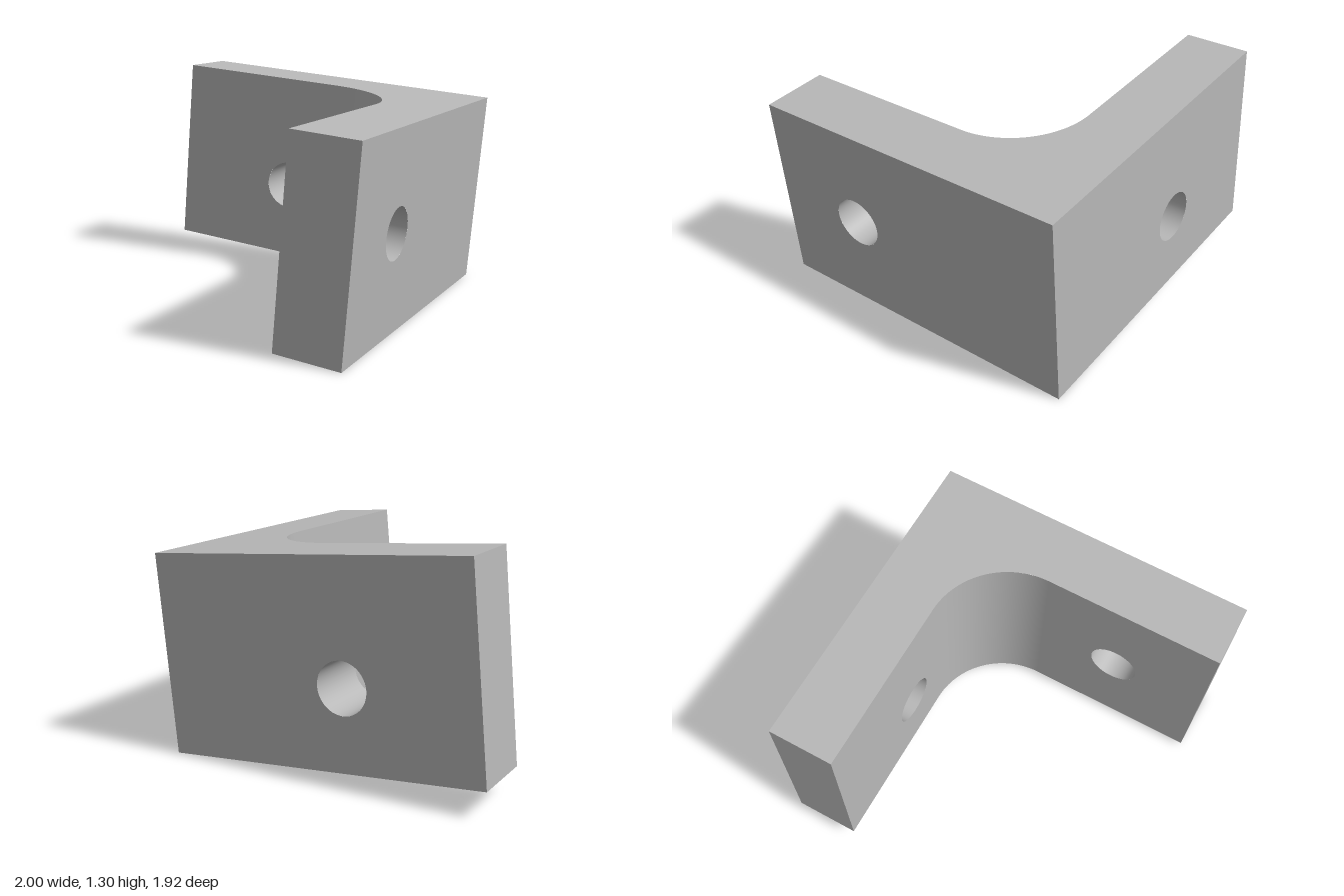
import * as THREE from 'three';
import { mergeGeometries } from 'three/addons/utils/BufferGeometryUtils.js';

const HALF = 0.958;         // half length of each leg
const H = 0.575;            // half height
const IX = HALF - 0.385;    // inner face of the side leg
const IZ = -HALF + 0.381;   // inner face of the back leg
const R = 0.48;             // inner fillet radius
const HOLE_R = 0.147;
const SEG = 48;
const BACK_HOLE = { x: -0.177, y: -0.114 };
const SIDE_HOLE = { z: 0.385, y: 0 };

// Upright rectangle from a to b facing +z, with an optional round hole
function wall(a, b, hole) {
  const s = new THREE.Shape();
  s.moveTo(a, -H).lineTo(b, -H).lineTo(b, H).lineTo(a, H).closePath();
  if (hole) s.holes.push(new THREE.Path().absarc(hole[0], hole[1], HOLE_R, 0, Math.PI * 2, true));
  return new THREE.ShapeGeometry(s, SEG);
}

// L-shaped face with the filleted inner corner; side is 1 for top, -1 for bottom
function cap(side) {
  const s = new THREE.Shape();
  const p = (x, z) => [x, -side * z];
  s.moveTo(...p(-HALF, -HALF));
  s.lineTo(...p(HALF, -HALF));
  s.lineTo(...p(HALF, HALF));
  s.lineTo(...p(IX, HALF));
  s.lineTo(...p(IX, IZ + R));
  s.absarc(...p(IX - R, IZ + R), R, 0, side * Math.PI / 2, side < 0);
  s.lineTo(...p(-HALF, IZ));
  s.closePath();
  return new THREE.ShapeGeometry(s, SEG).rotateX(-side * Math.PI / 2).translate(0, side * H, 0);
}

// Open cylinder whose surface faces its axis
function innerTube(radius, length, start = 0, sweep = Math.PI * 2) {
  const g = new THREE.CylinderGeometry(radius, radius, length, SEG, 1, true, start, sweep);
  g.index.array.reverse();
  const n = g.attributes.normal;
  for (let i = 0; i < n.count; i++) n.setXYZ(i, -n.getX(i), -n.getY(i), -n.getZ(i));
  return g;
}

export function createModel() {
  const grey = new THREE.MeshStandardMaterial({ color: 0xb8b8b8 });
  grey.name = 'plain grey';
  const q = Math.PI / 2;

  const body = mergeGeometries([
    cap(1),
    cap(-1),
    // outer faces
    wall(-HALF, HALF, [-BACK_HOLE.x, BACK_HOLE.y]).rotateY(Math.PI).translate(0, 0, -HALF),
    wall(-HALF, HALF, [-SIDE_HOLE.z, SIDE_HOLE.y]).rotateY(q).translate(HALF, 0, 0),
    // inner faces
    wall(-HALF, IX - R, [BACK_HOLE.x, BACK_HOLE.y]).translate(0, 0, IZ),
    wall(IZ + R, HALF, [SIDE_HOLE.z, SIDE_HOLE.y]).rotateY(-q).translate(IX, 0, 0),
    // leg ends
    wall(-HALF, IZ).rotateY(-q).translate(-HALF, 0, 0),
    wall(IX, HALF).translate(0, 0, HALF),
    // inner fillet
    innerTube(R, 2 * H, q, q).translate(IX - R, 0, IZ + R),
  ]);

  const backBore = innerTube(HOLE_R, IZ + HALF).rotateX(q)
    .translate(BACK_HOLE.x, BACK_HOLE.y, (IZ - HALF) / 2);
  const sideBore = innerTube(HOLE_R, HALF - IX).rotateZ(q)
    .translate((IX + HALF) / 2, SIDE_HOLE.y, SIDE_HOLE.z);

  // The whole bracket leans slightly to its left
  const bracket = new THREE.Group();
  bracket.name = 'angleBracket';
  for (const [name, geometry] of [['bracketBody', body], ['backHole', backBore], ['sideHole', sideBore]]) {
    const mesh = new THREE.Mesh(geometry, grey);
    mesh.name = name;
    bracket.add(mesh);
  }
  const tilt = THREE.MathUtils.degToRad(4.5);
  bracket.rotation.z = -tilt;
  bracket.position.y = HALF * Math.sin(tilt) + H * Math.cos(tilt);

  const model = new THREE.Group();
  model.name = 'model';
  model.add(bracket);
  return model;
}
